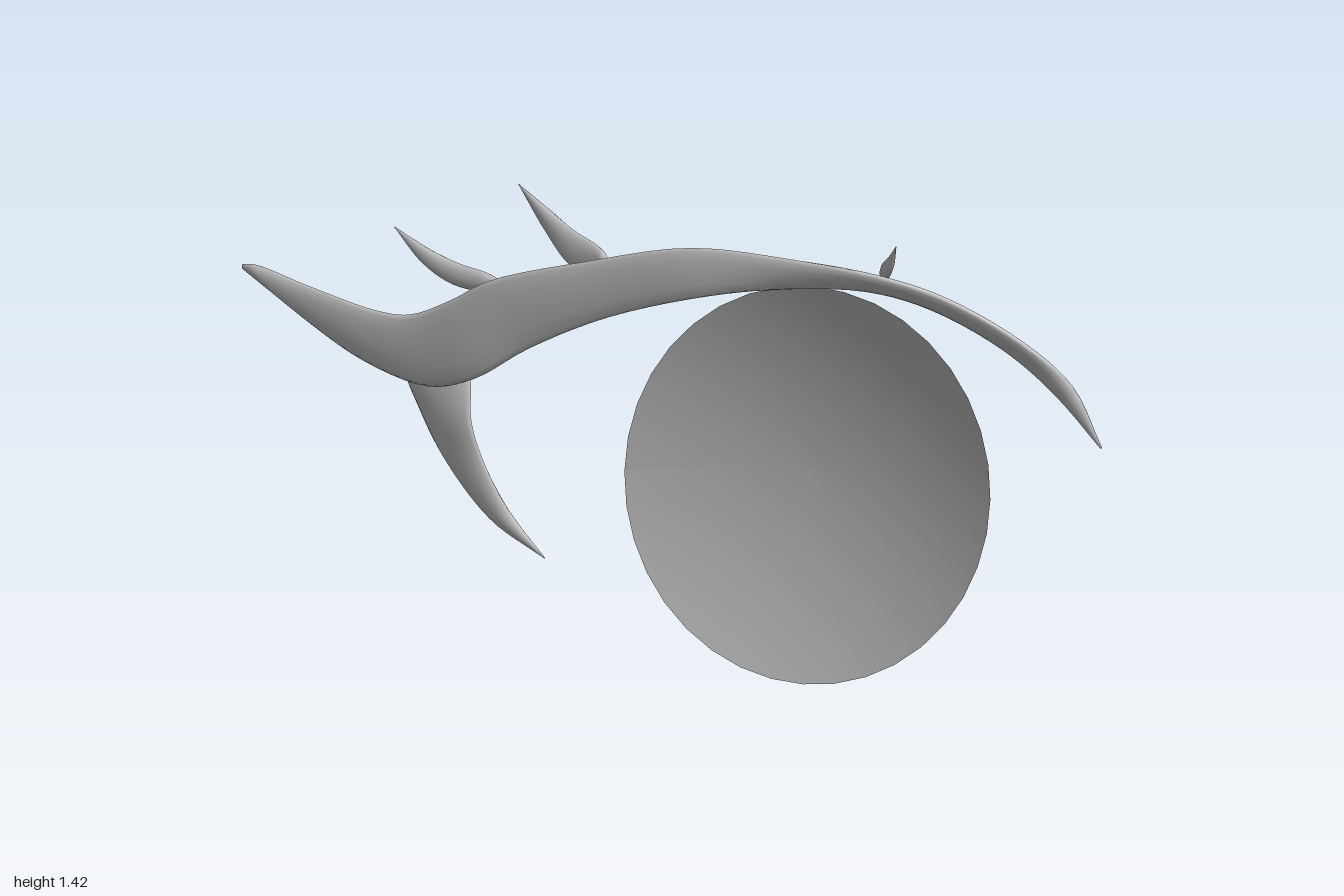
import * as THREE from 'three';

const grey = new THREE.MeshStandardMaterial({ color: 0xc0c0c0, side: THREE.DoubleSide });
grey.name = 'plain grey';

const curve = (pts) => new THREE.CatmullRomCurve3(pts.map((p) => new THREE.Vector3(...p)), false, 'centripetal');

// Closed, rounded blade lofted between two edge curves
function blade(name, edgeA, edgeB, thickness, steps = 30, sides = 12) {
  const A = curve(edgeA), B = curve(edgeB);
  const mid = (t) => A.getPoint(t).add(B.getPoint(t)).multiplyScalar(0.5);
  const pos = [], idx = [];
  for (let i = 0; i <= steps; i++) {
    const t = i / steps;
    const c = mid(t);
    const a = A.getPoint(t).sub(c);
    const tangent = mid(Math.min(1, t + 0.02)).sub(mid(Math.max(0, t - 0.02)));
    const b = tangent.cross(a).normalize().multiplyScalar(Math.min(thickness, a.length() * 0.5));
    for (let j = 0; j < sides; j++) {
      const u = (j / sides) * Math.PI * 2;
      const p = c.clone().addScaledVector(a, Math.cos(u)).addScaledVector(b, Math.sin(u));
      pos.push(p.x, p.y, p.z);
    }
  }
  for (let i = 0; i < steps; i++) {
    for (let j = 0; j < sides; j++) {
      const k = (j + 1) % sides, r = i * sides, s = r + sides;
      idx.push(r + j, r + k, s + k, r + j, s + k, s + j);
    }
  }
  // End caps
  const last = steps * sides;
  for (let j = 1; j < sides - 1; j++) {
    idx.push(0, j + 1, j, last, last + j, last + j + 1);
  }
  const g = new THREE.BufferGeometry();
  g.setAttribute('position', new THREE.Float32BufferAttribute(pos, 3));
  g.setIndex(idx);
  g.computeVertexNormals();
  const mesh = new THREE.Mesh(g, grey);
  mesh.name = name;
  return mesh;
}

// Depth of the lid line at a given x
const SWEEP = [[-1, -0.797], [-0.72, -0.455], [-0.51, -0.2], [-0.32, -0.015], [-0.13, 0.18],
  [0.03, 0.32], [0.24, 0.455], [0.455, 0.55], [0.72, 0.65], [1, 0.795]];
function sweepZ(x) {
  let i = 0;
  while (i < SWEEP.length - 2 && x > SWEEP[i + 1][0]) i++;
  const [x0, z0] = SWEEP[i], [x1, z1] = SWEEP[i + 1];
  return z0 + ((z1 - z0) * (x - x0)) / (x1 - x0);
}
// The inner half of the lid leans forward along its top edge
const { smoothstep } = THREE.MathUtils;
const lean = (x) => 0.035 * smoothstep(x, -0.1, 0.5) * (1 - smoothstep(x, 0.78, 1));
const onSweep = (pts, side) => pts.map(([x, y]) => [x, y, sweepZ(x) + side * lean(x)]);

// Shallow oval dish, hollow side to the front
function eyeDish() {
  const g = new THREE.SphereGeometry(1, 36, 12, 0, Math.PI * 2, 0, Math.PI / 2);
  const p = g.attributes.position;
  const back = new THREE.Vector3(0.47, 0.225, -1).normalize();
  const v = new THREE.Vector3();
  for (let i = 0; i < p.count; i++) {
    const sx = p.getX(i), sy = p.getZ(i);
    const depth = 0.085 * (1 - sx * sx - sy * sy);
    const x = 0.455 * sx - 0.018 * sy, y = 0.627 * sy;
    v.set(0.3 + x, 0.627 + y, 0.31 + 0.47 * x + 0.225 * y).addScaledVector(back, depth);
    p.setXYZ(i, v.x, v.y, v.z);
  }
  g.computeVertexNormals();
  const mesh = new THREE.Mesh(g, grey);
  mesh.name = 'eyeDish';
  return mesh;
}

export function createModel() {
  const group = new THREE.Group();
  group.name = 'eyeWithLashes';
  group.add(eyeDish());

  // Upper lid line, sweeping from the outer tail to the inner corner
  const lidTop = [[-1, 0.957], [-0.97, 0.966], [-0.86, 0.948], [-0.71, 0.932], [-0.64, 0.948],
    [-0.55, 1.025], [-0.47, 1.105], [-0.257, 1.222], [-0.016, 1.33], [0.2, 1.345],
    [0.44, 1.318], [0.61, 1.262], [0.8, 1.15], [0.925, 1.03], [1, 0.86]];
  const lidBottom = [[-1, 0.943], [-0.95, 0.91], [-0.87, 0.85], [-0.738, 0.775], [-0.6, 0.755],
    [-0.5, 0.815], [-0.38, 0.935], [-0.2, 1.08], [0.03, 1.2], [0.2, 1.24],
    [0.42, 1.252], [0.58, 1.21], [0.765, 1.105], [0.89, 0.992], [0.997, 0.855]];
  group.add(blade('upperLid', onSweep(lidTop, 1), onSweep(lidBottom, -1), 0.015, 70));

  // Lashes: base to tip along each edge
  group.add(blade('innerLash',
    [[0.46, 1.31, 0.5], [0.462, 1.335, 0.52], [0.466, 1.375, 0.575], [0.47, 1.425, 0.63]],
    [[0.46, 1.29, 0.525], [0.462, 1.3, 0.552], [0.466, 1.35, 0.6], [0.47, 1.422, 0.632]], 0.012));
  group.add(blade('middleLash',
    [[-0.2, 1.235, 0.083], [-0.21, 1.257, 0.045], [-0.26, 1.28, -0.03], [-0.31, 1.315, -0.09], [-0.382, 1.37, -0.182]],
    [[-0.2, 1.215, 0.083], [-0.22, 1.165, 0.03], [-0.275, 1.18, -0.045], [-0.325, 1.26, -0.115], [-0.382, 1.367, -0.18]], 0.015));
  group.add(blade('outerLash',
    [[-0.42, 1.08, -0.2], [-0.455, 1.098, -0.235], [-0.52, 1.108, -0.298], [-0.585, 1.13, -0.36], [-0.665, 1.174, -0.437]],
    [[-0.42, 1.068, -0.2], [-0.46, 1.043, -0.24], [-0.54, 1.045, -0.318], [-0.605, 1.09, -0.38], [-0.665, 1.171, -0.435]], 0.014));
  group.add(blade('lowerLash',
    [[-0.52, 0.87, -0.33], [-0.497, 0.8, -0.265], [-0.503, 0.68, -0.222], [-0.475, 0.57, -0.194], [-0.417, 0.44, -0.132], [-0.337, 0.331, -0.06]],
    [[-0.58, 0.88, -0.4], [-0.64, 0.79, -0.43], [-0.604, 0.65, -0.38], [-0.55, 0.53, -0.3], [-0.46, 0.41, -0.19], [-0.339, 0.33, -0.062]], 0.016));

  return group;
}
